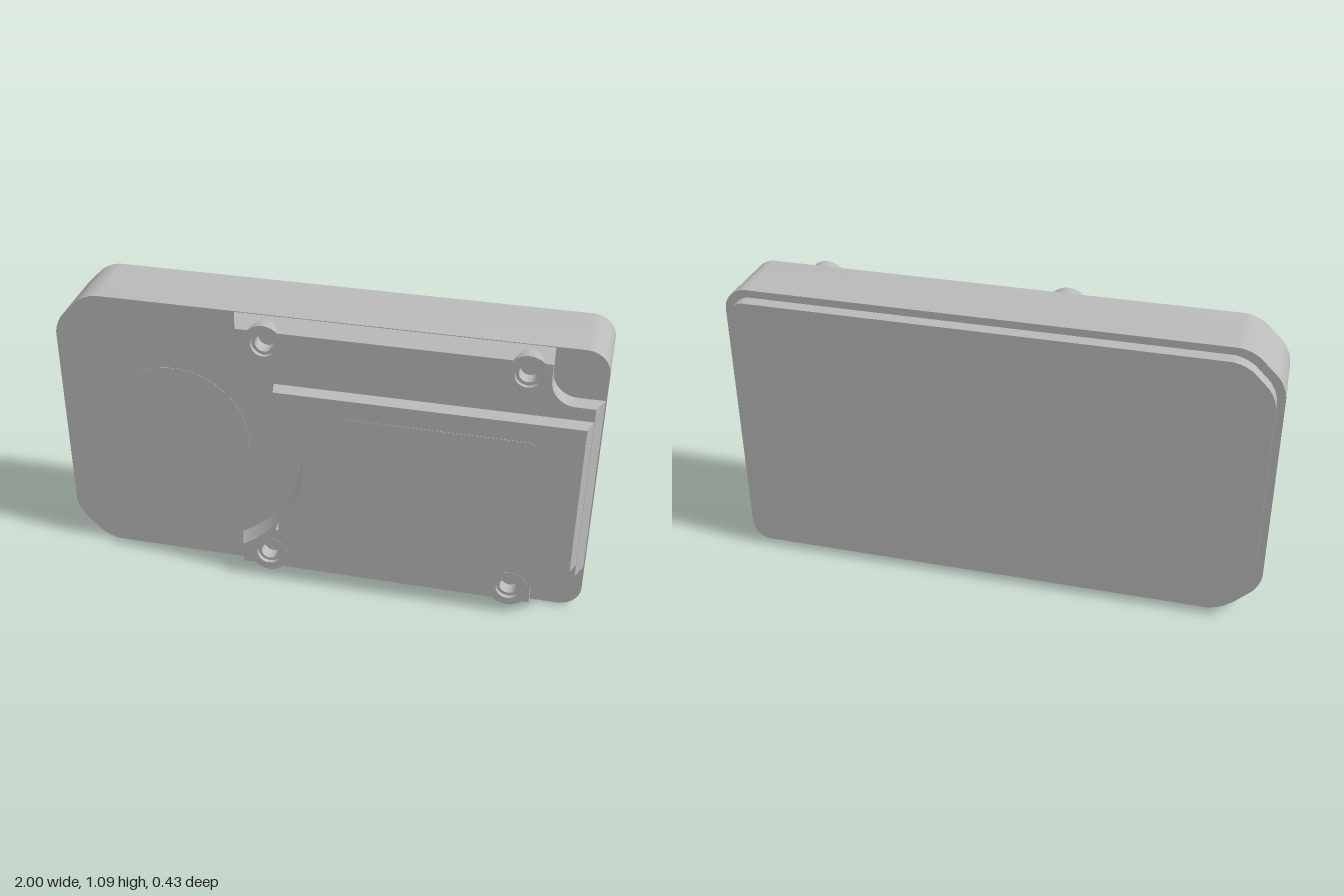
import * as THREE from 'three';
import { toCreasedNormals } from 'three/addons/utils/BufferGeometryUtils.js';

const CY = 0.545;   // mid height
const CX = -0.55;   // centre of the round recess

export function createModel() {
  const group = new THREE.Group();
  const grey = new THREE.MeshStandardMaterial({ color: 0xbababa });
  grey.name = 'casing grey';

  // Extrude a shape from z0 to z1; taper(v) moves the vertices of the front face
  const slab = (name, shape, z0, z1, taper) => {
    let geo = new THREE.ExtrudeGeometry(shape, { depth: z1 - z0, bevelEnabled: false, curveSegments: 40 });
    geo.translate(0, 0, z0);
    if (taper) {
      const p = geo.attributes.position;
      const v = new THREE.Vector3();
      for (let i = 0; i < p.count; i++) {
        v.fromBufferAttribute(p, i);
        if (v.z < (z0 + z1) / 2) continue;
        taper(v);
        p.setXYZ(i, v.x, v.y, v.z);
      }
    }
    geo = toCreasedNormals(geo, 0.5);
    const mesh = new THREE.Mesh(geo, grey);
    mesh.name = name;
    group.add(mesh);
    return mesh;
  };

  // Polygon with each corner [x, y, r] rounded
  const rounded = (pts) => {
    const s = new THREE.Shape();
    pts.forEach(([x, y, r], i) => {
      const toward = ([px, py]) => {
        const d = Math.hypot(px - x, py - y);
        return [x + (px - x) * r / d, y + (py - y) * r / d];
      };
      const a = toward(pts[(i + pts.length - 1) % pts.length]);
      const b = toward(pts[(i + 1) % pts.length]);
      if (i === 0) s.moveTo(...a); else s.lineTo(...a);
      s.bezierCurveTo(a[0] + (x - a[0]) * 0.55, a[1] + (y - a[1]) * 0.55,
        b[0] + (x - b[0]) * 0.55, b[1] + (y - b[1]) * 0.55, ...b);
    });
    s.closePath();
    return s;
  };

  // Case outline: chamfered corners at -x, round corners at +x
  const outline = (inset) => {
    const w = 1 - inset, h = CY - inset, c = 0.125 - inset * 0.4, r = 0.085 - inset * 0.6;
    return rounded([
      [-w + c, CY - h, 0.05], [w, CY - h, r], [w, CY + h, r],
      [-w + c, CY + h, 0.05], [-w, CY + h - c, 0.05], [-w, CY - h + c, 0.05],
    ]);
  };
  slab('case', outline(0), -0.165, 0.1, (v) => {
    v.x *= 0.996;
    v.y = CY + (v.y - CY) * 0.992;
  });
  slab('backLid', outline(0.028), -0.215, -0.165);

  // Raised front platform: round bite at -x, corner notches at +x, four screw holes
  const screws = [];
  for (const x of [-0.19, 0.73]) for (const y of [0.09, 1.0]) screws.push([x, y]);
  const circle = (Type, x, y, r) => new Type().absarc(x, y, r, 0, Math.PI * 2, false);

  const platform = new THREE.Shape();
  platform.moveTo(-0.31, 0.006);
  platform.lineTo(0.81, 0.006);
  platform.lineTo(0.81, 0.1);
  platform.absarc(0.9, 0.1, 0.09, Math.PI, Math.PI / 2, true);
  platform.lineTo(0.993, 0.19);
  platform.lineTo(0.993, 0.9);
  platform.lineTo(0.9, 0.9);
  platform.absarc(0.9, 0.99, 0.09, Math.PI * 1.5, Math.PI, true);
  platform.lineTo(0.81, 1.084);
  platform.lineTo(-0.31, 1.084);
  platform.absarc(CX, CY, 0.48, Math.PI / 3, -Math.PI / 3, true);
  platform.closePath();
  for (const [x, y] of screws) platform.holes.push(circle(THREE.Path, x, y, 0.045));

  const pushArc = (v, radius, by) => {
    const dx = v.x - CX, dy = v.y - CY, d = Math.hypot(dx, dy);
    if (Math.abs(d - radius) > 0.001) return;
    v.x += dx / d * by;
    v.y += dy / d * by;
  };
  slab('frontPlatform', platform, 0.098, 0.165, (v) => {
    if (v.x < -0.309) {
      v.x = -0.29;
      if (Math.abs(v.y - CY) < 0.43) v.y += 0.011 * Math.sign(v.y - CY);
    } else pushArc(v, 0.48, 0.02);
    v.x = Math.min(v.x, 0.965);
    v.y = THREE.MathUtils.clamp(v.y, 0.038, 1.052);
  });

  // Screw bosses with a counterbored hole
  for (const [x, y] of screws) {
    const boss = circle(THREE.Shape, x, y, 0.075);
    boss.holes.push(circle(THREE.Path, x, y, 0.045));
    slab('screwBoss', boss, 0.098, 0.166);
    const seat = circle(THREE.Shape, x, y, 0.046);
    seat.holes.push(circle(THREE.Path, x, y, 0.033));
    slab('screwSeat', seat, 0.098, 0.15);
  }

  // Central ridge on the platform
  const a = Math.asin(0.305 / 0.5);
  const ridge = new THREE.Shape();
  ridge.moveTo(0.965, CY - 0.305);
  ridge.lineTo(0.965, CY + 0.305);
  ridge.absarc(CX, CY, 0.5, a, -a, true);
  ridge.closePath();
  slab('centreRidge', ridge, 0.163, 0.215, (v) => {
    pushArc(v, 0.5, 0.012);
    v.x = Math.min(v.x, 0.945);
    v.y = THREE.MathUtils.clamp(v.y, CY - 0.299, CY + 0.299);
  });

  // Thin label areas on the ridge and in the round recess
  slab('ridgeLabel', rounded([
    [0.09, 0.29, 0.02], [0.78, 0.29, 0.02], [0.78, 0.77, 0.02], [0.09, 0.77, 0.02],
  ]), 0.214, 0.2165);
  slab('roundLabel', circle(THREE.Shape, CX, CY, 0.28), 0.099, 0.1015);

  return group;
}
